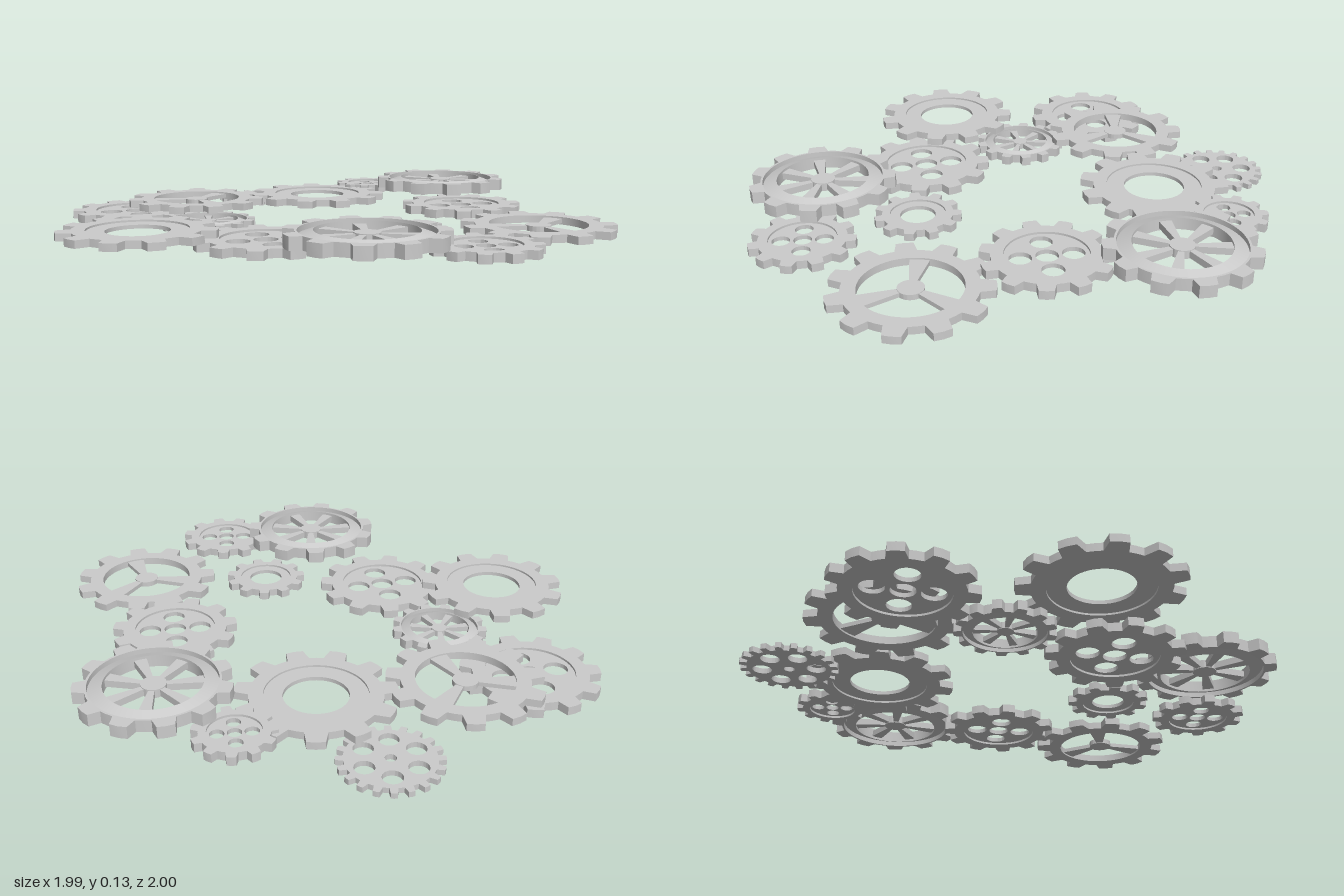
import * as THREE from 'three';
import { toCreasedNormals } from 'three/addons/utils/BufferGeometryUtils.js';

const material = new THREE.MeshStandardMaterial({ color: 0xcccccc });
const SEG = 40;
const rad = THREE.MathUtils.degToRad;

// Point at a clockwise angle from "up" (-z) in the gear plane
const polar = (r, a) => new THREE.Vector2(r * Math.sin(a), r * Math.cos(a));

function circle(x, y, r) {
  return new THREE.Path().absarc(x, y, r, 0, Math.PI * 2, true);
}

function disc(r) {
  return new THREE.Shape().absarc(0, 0, r, 0, Math.PI * 2, false);
}

// Counter-clockwise outline with tapered teeth and a rounded root
function toothed(R, root, teeth, phase) {
  const pts = [];
  const pitch = Math.PI * 2 / teeth;
  for (let i = 0; i < teeth; i++) {
    const a = phase - i * pitch;
    pts.push(polar(root, a + pitch * 0.3), polar(R, a + pitch * 0.195), polar(R * 1.006, a),
      polar(R, a - pitch * 0.195), polar(root, a - pitch * 0.3), polar(root, a - pitch * 0.5));
  }
  return new THREE.Shape(pts);
}

function addMesh(group, name, geometry) {
  const mesh = new THREE.Mesh(toCreasedNormals(geometry, 0.5), material);
  mesh.name = name;
  group.add(mesh);
  return mesh;
}

// Horizontal plate from a shape, occupying y0..y1
function plate(group, name, shape, y0, y1) {
  const g = new THREE.ExtrudeGeometry(shape, { depth: y1 - y0, bevelEnabled: false, curveSegments: SEG });
  g.rotateX(-Math.PI / 2);
  g.translate(0, y0, 0);
  return addMesh(group, name, g);
}

// Hub with wedge spokes that widen towards the rim
function spokes(group, count, inner, hub, wHub, wRim, h, phase) {
  plate(group, 'hub', disc(hub), h * 0.15, h * 0.85);
  for (let i = 0; i < count; i++) {
    const s = new THREE.Shape([
      new THREE.Vector2(-wHub, hub * 0.8), new THREE.Vector2(wHub, hub * 0.8),
      new THREE.Vector2(wRim, inner * 1.01), new THREE.Vector2(-wRim, inner * 1.01),
    ].reverse());
    plate(group, 'spoke', s, h * 0.22, h * 0.78).rotation.y = -(phase + i * Math.PI * 2 / count);
  }
}

const builders = {
  // Wide ring with a recessed step around the bore
  ring(group, R, h, teeth, phase) {
    const rim = toothed(R, R * 0.82, teeth, phase);
    rim.holes.push(circle(0, 0, R * 0.64));
    plate(group, 'toothedRim', rim, 0, h);
    const web = disc(R * 0.64);
    web.holes.push(circle(0, 0, R * 0.405));
    plate(group, 'recessedRing', web, h * 0.25, h * 0.75);
  },
  // Recessed web with a centre hole and four around it
  holed(group, R, h, teeth, phase, turn) {
    const rim = toothed(R, R * 0.83, teeth, phase);
    rim.holes.push(circle(0, 0, R * 0.64));
    plate(group, 'toothedRim', rim, 0, h);
    const web = disc(R * 0.64);
    web.holes.push(circle(0, 0, R * 0.172));
    for (let i = 0; i < 4; i++) {
      const p = polar(R * 0.4, turn + i * Math.PI / 2);
      web.holes.push(circle(p.x, p.y, R * 0.172));
    }
    plate(group, 'recessedWeb', web, h * 0.25, h * 0.75);
  },
  // Three broad spokes
  threeSpoke(group, R, h, teeth, phase, turn) {
    const rim = toothed(R, R * 0.82, teeth, phase);
    rim.holes.push(circle(0, 0, R * 0.635));
    plate(group, 'toothedRim', rim, 0, h);
    spokes(group, 3, R * 0.635, R * 0.165, R * 0.045, R * 0.13, h, turn);
  },
  // Seven spokes inside a sloping inner rim
  sevenSpoke(group, R, h, teeth, phase, turn) {
    const rim = toothed(R, R * 0.85, teeth, phase);
    rim.holes.push(circle(0, 0, R * 0.82));
    plate(group, 'toothedRim', rim, 0, h);
    const a = R * 0.63, b = R * 0.822;
    const profile = [[a, 0], [b, h * 0.42], [b, h * 0.58], [a, h], [a, 0]];
    addMesh(group, 'slopingRim', new THREE.LatheGeometry(profile.map(p => new THREE.Vector2(...p)), 64));
    spokes(group, 7, a, R * 0.165, R * 0.035, R * 0.085, h, turn);
  },
  // Thin plate with six large holes and a small bore
  flat(group, R, h, teeth, phase, turn) {
    const s = toothed(R, R * 0.86, teeth, phase);
    s.holes.push(circle(0, 0, R * 0.11));
    for (let i = 0; i < 6; i++) {
      const p = polar(R * 0.56, turn + i * Math.PI / 3);
      s.holes.push(circle(p.x, p.y, R * 0.195));
    }
    plate(group, 'toothedPlate', s, 0, h);
  },
};

// name, type, x, z, bottom y, height, radius, teeth, tooth phase, pattern turn (degrees)
const gears = [
  ['thinGear', 'flat', -0.222, -0.822, 0, 0.02, 0.177, 20, 0, 0],
  ['backSmallGear', 'holed', 0.274, -0.762, 0.052, 0.032, 0.142, 11, 0, -8],
  ['backSpokedGear', 'sevenSpoke', 0.559, -0.543, 0.085, 0.045, 0.27, 11, 180, 2],
  ['backRingGear', 'ring', 0.014, -0.528, 0.044, 0.028, 0.282, 11, 0, 0],
  ['backThreeSpokeGear', 'threeSpoke', -0.504, -0.435, 0.044, 0.028, 0.277, 11, 0, 33],
  ['rightHoledGear', 'holed', -0.748, -0.341, 0.012, 0.032, 0.25, 11, 6, -15],
  ['rightSmallSpokedGear', 'sevenSpoke', -0.456, -0.027, 0.015, 0.034, 0.178, 13, 0, 0],
  ['rightRingGear', 'ring', -0.701, 0.292, 0.044, 0.028, 0.281, 11, 0, 0],
  ['frontHoledGear', 'holed', -0.259, 0.359, 0.012, 0.032, 0.253, 11, -5, -15],
  ['frontSpokedGear', 'sevenSpoke', 0.039, 0.727, 0.085, 0.045, 0.271, 11, -5, 0],
  ['frontSmallGear', 'holed', 0.417, 0.747, 0.052, 0.03, 0.186, 11, 0, -5],
  ['centreRingGear', 'ring', 0.224, 0.362, 0.044, 0.028, 0.158, 11, 0, 0],
  ['leftThreeSpokeGear', 'threeSpoke', 0.717, 0.354, 0.044, 0.028, 0.277, 11, 0, 36],
  ['leftHoledGear', 'holed', 0.544, -0.092, 0.052, 0.032, 0.231, 11, -5, -10],
];

export function createModel() {
  const model = new THREE.Group();
  model.name = 'gearCluster';
  for (const [name, type, x, z, y, h, R, teeth, phase, turn] of gears) {
    const gear = new THREE.Group();
    gear.name = name;
    gear.position.set(x, y, z);
    builders[type](gear, R, h, teeth, rad(phase), rad(turn));
    model.add(gear);
  }
  return model;
}
